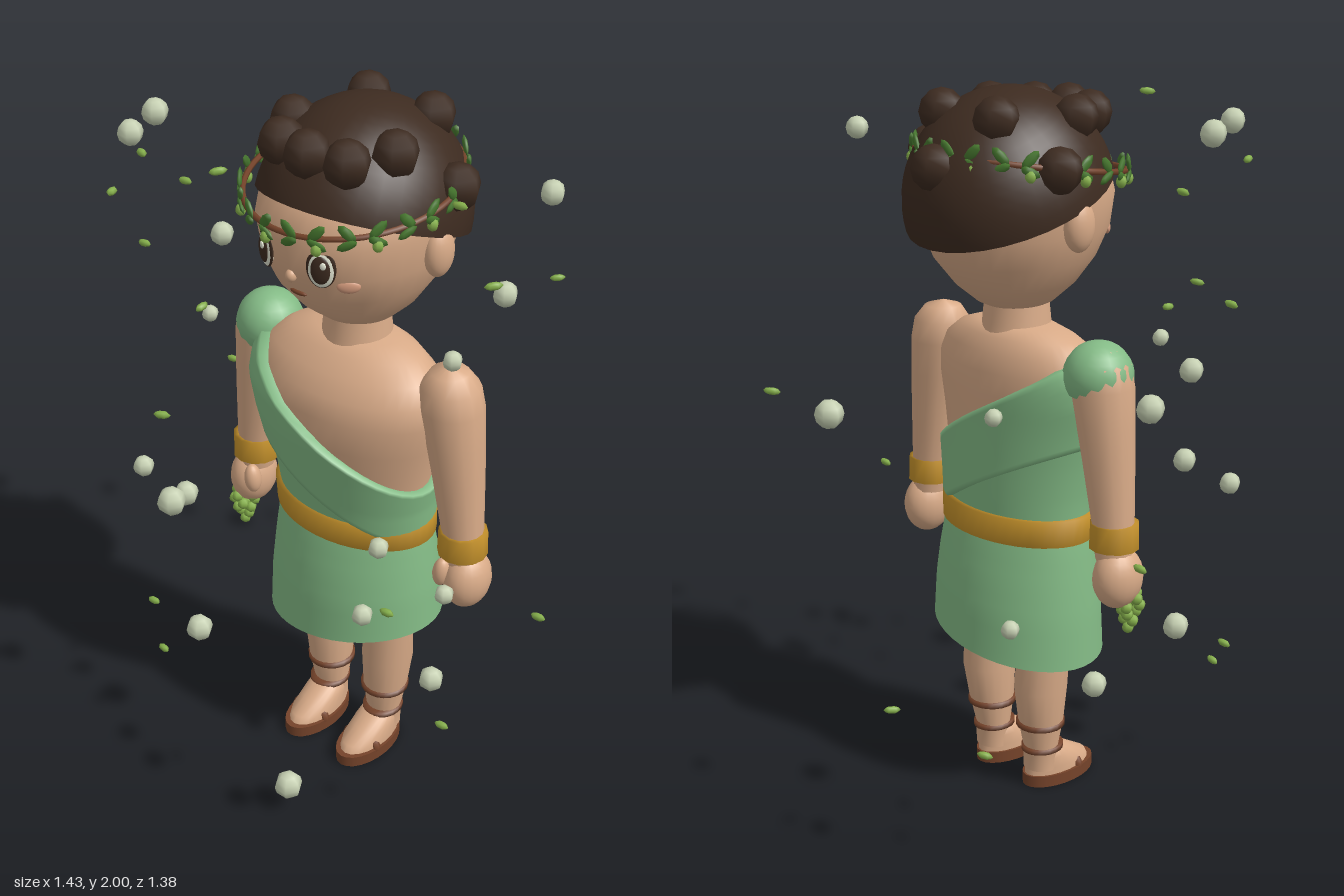
import * as THREE from 'three';

const mat = (name, color) => Object.assign(new THREE.MeshStandardMaterial({ color, side: THREE.DoubleSide }), { name });
const skin = mat('skin', 0xd9ab88), hair = mat('darkBrownHair', 0x3d2b20), cloth = mat('greenCloth', 0x84bb86);
const gold = mat('gold', 0xc8942c), leather = mat('leather', 0x75432a), leafDark = mat('darkLeaf', 0x47782f);
const leafLight = mat('lightLeaf', 0x86b04c), pearl = mat('paleBauble', 0xc6d0b2);
const white = mat('eyeWhite', 0xe6e9d6), blush = mat('blush', 0xd39a7c);

// Closed-around surface: f(angle, t) gives a point; angle 0 faces +z, t runs upward
function surface(nu, nv, f) {
  const pos = [], idx = [];
  for (let j = 0; j <= nv; j++)
    for (let i = 0; i < nu; i++) pos.push(...f(i / nu * Math.PI * 2, j / nv));
  for (let j = 0; j < nv; j++)
    for (let i = 0; i < nu; i++) {
      const k = (i + 1) % nu, a = j * nu + i, b = j * nu + k, c = b + nu, d = a + nu;
      idx.push(a, b, c, a, c, d);
    }
  const g = new THREE.BufferGeometry();
  g.setAttribute('position', new THREE.Float32BufferAttribute(pos, 3));
  g.setIndex(idx);
  g.computeVertexNormals();
  return g;
}

// Elliptical rings: [y, centreX, radiusX, centreZ, radiusZ]
const ringPoint = ([y, cx, rx, cz, rz], a, off = 0) =>
  [cx + (rx + off) * Math.sin(a), y, cz + (rz + off) * Math.cos(a)];
const loft = (rings, nu = 24) =>
  surface(nu, rings.length - 1, (a, t) => ringPoint(rings[Math.round(t * (rings.length - 1))], a));
function ringAt(rings, y) {
  let i = 0;
  while (i < rings.length - 2 && rings[i + 1][0] < y) i++;
  const p = rings[i], q = rings[i + 1];
  const t = THREE.MathUtils.clamp((y - p[0]) / (q[0] - p[0]), 0, 1);
  return p.map((v, k) => (k ? v + (q[k] - v) * t : y));
}

const TORSO = [[0.6, 0, 0, 0.03, 0], [0.62, 0, 0.2, 0.03, 0.13], [0.8, 0, 0.225, 0.03, 0.148], [0.9, 0, 0.233, 0.037, 0.155],
  [1.0, 0, 0.25, 0.047, 0.163], [1.1, 0, 0.272, 0.056, 0.172], [1.19, 0, 0.293, 0.058, 0.175], [1.25, 0, 0.29, 0.05, 0.163],
  [1.3, 0, 0.262, 0.04, 0.14], [1.34, 0, 0.205, 0.03, 0.11], [1.365, 0, 0.13, 0.025, 0.08], [1.375, 0, 0, 0.025, 0]];
const HEAD = [[1.4, 0, 0, 0.02, 0], [1.405, 0, 0.055, 0.02, 0.055], [1.43, 0, 0.107, 0.02, 0.108], [1.48, 0, 0.16, 0.02, 0.17],
  [1.55, 0, 0.207, 0.02, 0.228], [1.63, 0, 0.24, 0.02, 0.264], [1.72, 0, 0.25, 0.02, 0.278], [1.8, 0, 0.245, 0.015, 0.255],
  [1.88, 0, 0.19, 0, 0.2], [1.94, 0, 0, 0, 0]];

const ball = new THREE.SphereGeometry(1, 20, 14);
const lowBall = new THREE.SphereGeometry(1, 6, 6);
const leafGeo = new THREE.SphereGeometry(1, 6, 4);

function add(parent, name, geo, material, p = [0, 0, 0], s = [1, 1, 1], r = [0, 0, 0]) {
  const m = new THREE.Mesh(geo, material);
  m.name = name;
  m.position.set(...p);
  m.scale.set(...s);
  m.rotation.set(r[0], r[1], r[2], 'YXZ');
  parent.add(m);
  return m;
}
function group(parent, name) {
  const g = new THREE.Group();
  g.name = name;
  parent.add(g);
  return g;
}

function buildHead(body) {
  const head = group(body, 'head');
  add(head, 'face', loft(HEAD, 32), skin);
  add(head, 'neck', loft([[1.33, 0, 0.1, 0.025, 0.1], [1.37, 0, 0.095, 0.025, 0.093], [1.44, 0, 0.088, 0.025, 0.086]]), skin);
  // Flat features laid on the curved face
  const onFace = (name, m, x, y, sx, sy, thick, lift = 0) => {
    const [, , rx, cz, rz] = ringAt(HEAD, y);
    const z = rz * Math.sqrt(1 - (x / rx) ** 2), yaw = Math.atan2(x / rx ** 2, z / rz ** 2);
    add(head, name, ball, m, [x + lift * Math.sin(yaw), y, cz + z + lift * Math.cos(yaw)], [sx, sy, thick], [0, yaw, 0]);
  };
  for (const s of [-1, 1]) {
    add(head, 'ear', ball, skin, [s * 0.25, 1.665, 0.01], [0.035, 0.07, 0.047]);
    onFace('eyeRim', hair, s * 0.09, 1.668, 0.039, 0.054, 0.008);
    onFace('eyeWhite', white, s * 0.09, 1.665, 0.036, 0.05, 0.012);
    onFace('iris', hair, s * 0.09, 1.665, 0.026, 0.038, 0.009, 0.007);
    onFace('eyeGlint', white, s * 0.09 + 0.009, 1.682, 0.008, 0.01, 0.004, 0.015);
    onFace('cheek', blush, s * 0.14, 1.615, 0.03, 0.018, 0.009);
  }
  onFace('nose', skin, 0, 1.622, 0.015, 0.018, 0.016);
  onFace('mouth', leather, 0, 1.564, 0.027, 0.007, 0.008);

  // Hair cap, lower at the nape, with a crown of curls
  add(head, 'hairCap', new THREE.SphereGeometry(0.295, 32, 14, 0, Math.PI * 2, 0, Math.PI / 2), hair,
    [0, 1.705, 0], [0.93, 1, 1], [-0.35, 0, 0]);
  const curls = [[0, 1.925, 0.215], [0.105, 1.92, 0.19], [0.165, 1.925, 0.08], [0.25, 1.815, -0.06], [0.105, 1.935, -0.143], [0, 1.815, -0.262]];
  for (const [x, y, z] of curls)
    for (const s of x ? [-1, 1] : [1]) add(head, 'curl', lowBall, hair, [s * x, y, z], [0.062, 0.062, 0.062]);

  // Leafy wreath
  const wreath = group(head, 'wreath');
  const at = (a, out = 0) => {
    const z = 0.04 + (0.283 + out) * Math.cos(a);
    return new THREE.Vector3((0.275 + out) * Math.sin(a), 1.81 - 0.15 * z, z);
  };
  const pts = Array.from({ length: 32 }, (_, i) => at(i / 32 * Math.PI * 2));
  add(wreath, 'wreathVine', new THREE.TubeGeometry(new THREE.CatmullRomCurve3(pts, true), 64, 0.008, 6, true), leather);
  for (let i = 0; i < 24; i++) {
    const a = (i + 0.5) / 24 * Math.PI * 2, up = i % 2 ? 1 : -1;
    const p = at(a, 0.008);
    add(wreath, 'wreathLeaf', leafGeo, leafDark, [p.x, p.y + 0.018, p.z], [0.03, 0.014, 0.007], [0, a, 0.8 * up]);
    add(wreath, 'wreathLeaf', leafGeo, leafDark, [p.x, p.y - 0.014, p.z], [0.028, 0.013, 0.007], [0.2, a, -0.5 * up]);
    if (i % 2) add(wreath, 'wreathBud', lowBall, leafLight, [p.x, p.y - 0.025, p.z], [0.015, 0.017, 0.015]);
  }
}

function buildClothes(body) {
  const clothes = group(body, 'tunic');
  const top = a => Math.min(1.29, 1.14 - 0.62 * 0.28 * Math.sin(a));
  const low = a => Math.max(0.8, 0.93 - 0.5 * 0.28 * Math.sin(a));
  add(clothes, 'bodice', surface(40, 16, (a, t) => {
    const y = 0.76 + (top(a) - 0.77) * t;
    return ringPoint(ringAt(TORSO, y), a, 0.01);
  }), cloth);
  // Diagonal sash, its edges tucked toward the body
  add(clothes, 'sash', surface(40, 16, (a, t) => {
    const u = THREE.MathUtils.clamp((t * 16 - 1) / 14, 0, 1);
    return ringPoint(ringAt(TORSO, low(a) + (top(a) - low(a)) * u), a, t === 0 || t === 1 ? 0 : 0.025);
  }), cloth);
  add(clothes, 'shoulderCap', new THREE.SphereGeometry(0.094, 16, 10, 0, Math.PI * 2, 0, 2.1), cloth, [-0.308, 1.275, 0.03], [1, 1, 1.02]);
  // Skirt with a slanted hem
  const SKIRT = [[0, 0, 0.268, 0.03, 0.215], [0.35, 0, 0.262, 0.03, 0.207], [0.6, 0, 0.253, 0.03, 0.193],
    [0.85, 0, 0.242, 0.03, 0.172], [1, 0, 0.232, 0.03, 0.155]];
  add(clothes, 'skirt', surface(40, 12, (a, t) => {
    const p = ringPoint(ringAt(SKIRT, t), a), hem = 0.46 + 0.15 * p[0];
    return [p[0], hem + (0.83 - hem) * t, p[2]];
  }), cloth);
  add(clothes, 'belt', loft([[0.783, 0, 0.225, 0.03, 0.145], [0.783, 0, 0.252, 0.03, 0.174],
    [0.857, 0, 0.254, 0.033, 0.176], [0.857, 0, 0.225, 0.03, 0.145]], 40), gold);
}

function buildArm(body, s) {
  const arm = group(body, s > 0 ? 'leftArm' : 'rightArm');
  const rings = [[0.78, 0.378, 0.052], [0.88, 0.37, 0.058], [1.05, 0.35, 0.071], [1.15, 0.337, 0.079], [1.25, 0.322, 0.087],
    [1.31, 0.316, 0.08], [1.35, 0.312, 0.052], [1.366, 0.31, 0]];
  add(arm, 'armSkin', loft(rings.map(([y, x, r]) => [y, s * x, r, 0.03, r]), 14), skin);
  const cuff = [[0.812, 0.05], [0.812, 0.069], [0.882, 0.067], [0.882, 0.05]];
  add(arm, 'bracelet', loft(cuff.map(([y, r]) => [y, s * 0.374, r, 0.032, r]), 12), gold);
  add(arm, 'hand', ball, skin, [s * 0.392, 0.73, 0.03], [0.062, 0.087, 0.076]);
  add(arm, 'thumb', ball, skin, [s * 0.345, 0.758, 0.085], [0.024, 0.045, 0.026], [0, 0, -s * 0.1]);
}

function buildLeg(body, s) {
  const leg = group(body, s > 0 ? 'leftLeg' : 'rightLeg');
  const rings = [[0.05, 0.102, 0.05, 0.022, 0.045], [0.12, 0.102, 0.052, 0.025, 0.05], [0.2, 0.105, 0.064, 0.022, 0.066],
    [0.31, 0.109, 0.072, 0.017, 0.08], [0.4, 0.112, 0.074, 0.022, 0.076], [0.5, 0.114, 0.08, 0.024, 0.08], [0.68, 0.114, 0.085, 0.025, 0.085]];
  add(leg, 'legSkin', loft(rings.map(([y, x, ...r]) => [y, s * x, ...r]), 18), skin);
  add(leg, 'foot', loft([[0.03, s * 0.1, 0.06, 0.09, 0.115], [0.055, s * 0.1, 0.06, 0.085, 0.107], [0.085, s * 0.1, 0.055, 0.06, 0.08],
    [0.115, s * 0.1, 0.045, 0.038, 0.055], [0.14, s * 0.1, 0, 0.025, 0]], 20), skin);
  add(leg, 'sandalSole', new THREE.CylinderGeometry(1, 1, 0.034, 24), leather, [s * 0.1, 0.017, 0.095], [0.068, 1, 0.125]);
  const strap = (y, r, z, rz, h) => add(leg, 'sandalStrap', loft([[y - h, s * 0.103, r - 0.02, z, rz - 0.02],
    [y - h, s * 0.103, r, z, rz], [y + h, s * 0.103, r, z, rz], [y + h, s * 0.103, r - 0.02, z, rz - 0.02]], 20), leather);
  strap(0.195, 0.07, 0.022, 0.071, 0.008);
  strap(0.115, 0.057, 0.03, 0.064, 0.007);
  add(leg, 'toeStrap', new THREE.TorusGeometry(0.06, 0.008, 6, 16, Math.PI), leather, [s * 0.1, 0.028, 0.125], [1, 0.72, 1.6]);
}

export function createModel() {
  const model = new THREE.Group();
  model.name = 'wreathedFigure';
  const body = group(model, 'figure');
  body.position.x = 0.02;
  add(body, 'torso', loft(TORSO, 40), skin);
  buildHead(body);
  buildClothes(body);
  for (const s of [-1, 1]) {
    buildArm(body, s);
    buildLeg(body, s);
  }

  // Bunch of grapes hanging from the right hand
  const grapes = group(body, 'grapes');
  [4, 4, 3, 2, 1].forEach((n, row) => {
    for (let i = 0; i < n; i++) {
      const a = i / n * Math.PI * 2 + row, r = n > 1 ? 0.008 * n - 0.002 : 0;
      add(grapes, 'grape', lowBall, leafLight, [-0.405 + r * Math.cos(a), 0.67 - row * 0.023, 0.06 + r * Math.sin(a)], [0.017, 0.017, 0.017]);
    }
  });

  // Floating baubles: x, y, z, radius
  const baubles = [[-0.475, 1.905, 0.237, 0.036], [-0.412, 1.915, 0.384, 0.034], [0.505, 1.847, -0.125, 0.032], [0.53, 1.576, 0.29, 0.025],
    [-0.682, 1.323, -0.195, 0.036], [-0.34, 1.354, 0.21, 0.023], [-0.057, 1.111, 0.66, 0.038], [0.438, 1.078, 0.445, 0.027],
    [-0.24, 0.931, 0.434, 0.034], [-0.434, 0.92, 0.405, 0.03], [0.424, 0.889, 0.49, 0.028], [-0.49, 0.771, -0.473, 0.024],
    [0.452, 0.784, 0.187, 0.027], [0.618, 0.765, 0.455, 0.032], [-0.258, 0.433, 0.398, 0.039], [0.12, 0.09, 0.45, 0.041],
    [-0.374, 1.278, -0.42, 0.023], [0.066, 1.22, -0.584, 0.039]];
  for (const [x, y, z, r] of baubles) add(model, 'bauble', lowBall, pearl, [x, y, z], [r, r, r]);

  // Drifting leaves: x, y, z, heading
  const leaves = [[-0.042, 1.947, 0.457, 0.9], [0.59, 1.767, 0.224, 0.8], [-0.575, 1.488, 0.213, 0], [-0.3, 1.418, 0.28, 1.6],
    [-0.055, 1.376, 0.675, 0.4], [-0.66, 0.905, -0.195, 0], [0.685, 0.77, 0.09, 0], [-0.135, 0.452, -0.565, 1.1],
    [-0.33, 0.34, -0.415, 0.5], [0.18, 1.275, -0.677, 0.7], [-0.355, 0.34, 0.453, -0.2], [-0.385, 1.8, 0.484, -1.2],
    [0.455, 1.91, 0.18, 0], [-0.44, 0.44, 0.4, 0], [0.53, 0.44, 0.285, 0], [0.462, 0.885, 0.44, 0], [-0.37, 1.875, 0.39, -0.4], [-0.376, 1.743, 0.24, 0]];
  for (const [x, y, z, a] of leaves) add(model, 'driftingLeaf', leafGeo, leafLight, [x, y, z], [0.023, 0.01, 0.011], [0, a, 0.1]);
  return model;
}
